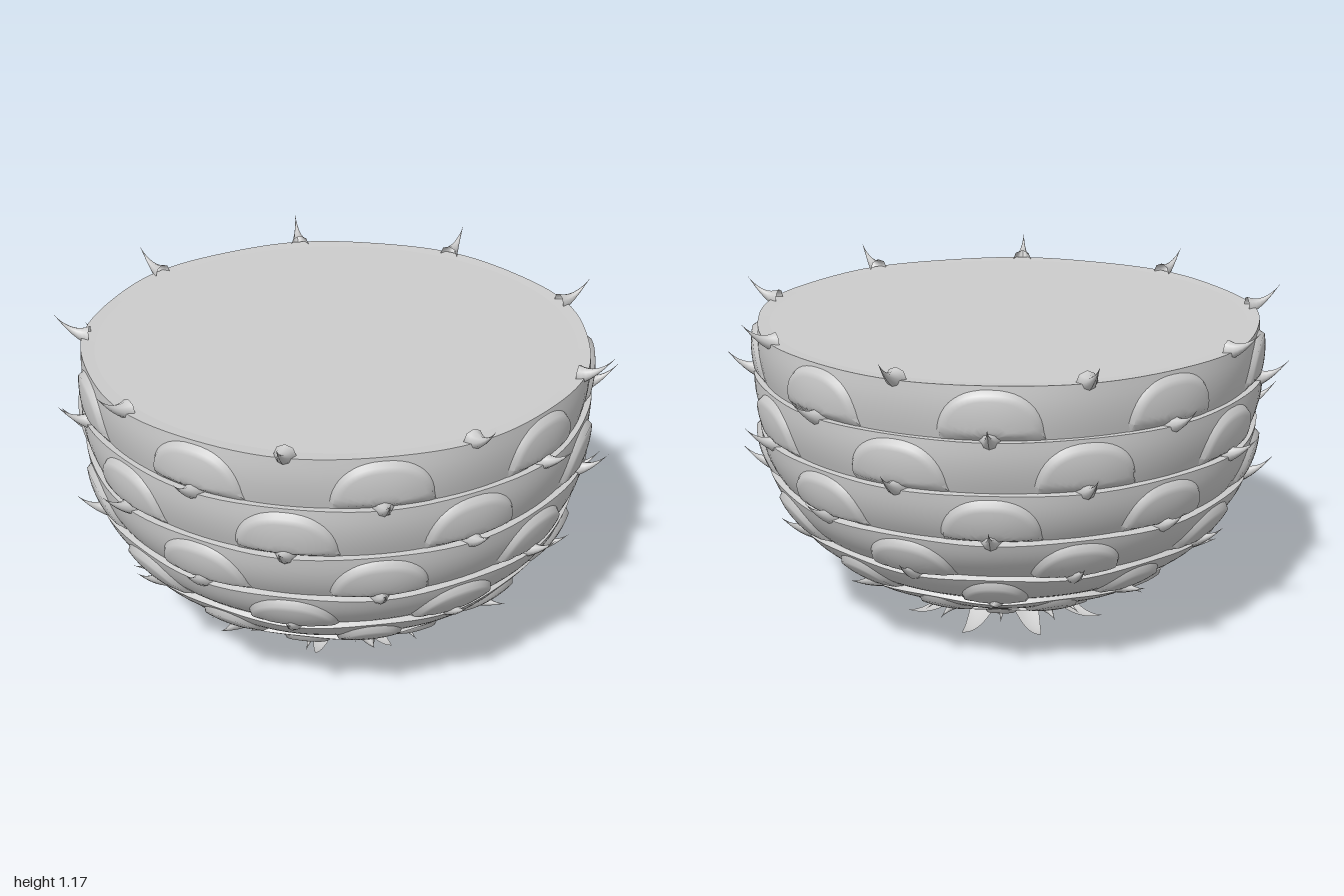
import * as THREE from 'three';
import { mergeVertices, toCreasedNormals } from 'three/addons/utils/BufferGeometryUtils.js';

const ROWS = 8;
const COUNT = 9;
const STEP = (Math.PI * 2) / COUNT;

// Rind profile (radius, height): one point per ledge between rows of scales
const profile = new THREE.CatmullRomCurve3([
  [0.22, 0.06], [0.31, 0.09], [0.46, 0.15], [0.64, 0.26], [0.765, 0.395],
  [0.845, 0.555], [0.878, 0.73], [0.884, 0.91], [0.872, 1.088],
].map(([r, y]) => new THREE.Vector3(r, y, 0)), false, 'catmullrom');

// Point on the rind at an angle and row position, pushed out along the normal
function rindPoint(theta, s, off) {
  const k = THREE.MathUtils.clamp(s / ROWS, 0, 1);
  const p = profile.getPoint(k);
  const t = profile.getTangent(k);
  const r = p.x + t.y * off;
  return [r * Math.sin(theta), p.y - t.x * off, r * Math.cos(theta)];
}

// Moves a grid by a rule (u, v) => [x, y, z]
function surface(nu, nv, rule, crease = 0.7) {
  let geo = new THREE.PlaneGeometry(1, 1, nu, nv);
  const pos = geo.attributes.position;
  for (let i = 0; i < pos.count; i++) {
    pos.setXYZ(i, ...rule(pos.getX(i) + 0.5, pos.getY(i) + 0.5));
  }
  geo.deleteAttribute('uv');
  geo.deleteAttribute('normal');
  geo = mergeVertices(geo, 1e-5);
  return toCreasedNormals(geo, crease);
}

const rowSize = (row) => Math.min(1, 0.45 + row * 0.14);
const rowAngle = (row) => THREE.MathUtils.degToRad(row % 2 ? 10 : -10);
const bandOffset = (t, size) => size * (-0.008 + 0.024 * Math.sin(Math.min(1, t * 1.15) * Math.PI / 2));

// One row of broad scale bases, ending in a sharp ledge
function bandGeometry(row) {
  const nv = 9;
  return surface(108, nv, (u, v) => {
    const theta = (u * 2 - 1) * Math.PI;
    const lip = v > 0.999;
    const t = Math.min(1, (v * nv) / (nv - 1));
    const wave = 0.005 * t * Math.cos((theta - rowAngle(row + 1)) * COUNT);
    return rindPoint(theta, row + t, lip ? -0.045 : bandOffset(t, rowSize(row)) + wave);
  });
}

// Arched upper part of a scale, lying over the next row
function domeGeometry(row) {
  const size = rowSize(row);
  const halfWidth = THREE.MathUtils.degToRad(row < 4 ? 10 : 11.5);
  return surface(24, 9, (u, rho) => {
    const a = Math.PI * u;
    const c = Math.cos(a);
    const across = Math.sign(c) * Math.abs(c) ** 0.85 * rho;
    const h = Math.max(0, Math.sin(a)) ** 0.85 * rho;
    const rise = rho > 0.999 ? -0.01 : 0.012 + 0.012 * (1 - rho * rho);
    const ramp = Math.min(1, 0.15 + h / 0.15);
    return rindPoint(-across * halfWidth, row + 0.95 * h,
      bandOffset(0.95 * h, size) + rise * ramp * size);
  }, 0.9);
}

// Thorn growing along +z and curling by the given lift
function thornGeometry(length, lift, radius) {
  const geo = new THREE.ConeGeometry(radius, 1, 8, 8, true);
  geo.translate(0, 0.5, 0).rotateX(Math.PI / 2);
  const pos = geo.attributes.position;
  for (let i = 0; i < pos.count; i++) {
    const t = pos.getZ(i);
    const taper = Math.max(0, 1 - t) ** 0.4;
    pos.setXYZ(i, pos.getX(i) * taper, pos.getY(i) * taper + lift * t * t, t * length);
  }
  geo.computeVertexNormals();
  return geo;
}

export function createModel() {
  const model = new THREE.Group();
  const grey = new THREE.MeshStandardMaterial({ color: 0xcccccc });
  const thin = new THREE.MeshStandardMaterial({ color: 0xcccccc, side: THREE.DoubleSide });

  function add(name, geo, mat = grey, parent = model) {
    const mesh = new THREE.Mesh(geo, mat);
    mesh.name = name;
    parent.add(mesh);
    return mesh;
  }

  // Repeats a geometry around the axis
  function ring(name, geo, start, mat) {
    const group = new THREE.Group();
    group.name = name + 's';
    for (let i = 0; i < COUNT; i++) {
      add(name, geo, mat, group).rotation.y = start + i * STEP;
    }
    model.add(group);
  }

  // Flat cut top
  add('cutTop', new THREE.CircleGeometry(0.855, 96).rotateX(-Math.PI / 2)).position.y = 1.086;

  // Rows of scales
  for (let row = 0; row < ROWS; row++) {
    add('scaleRow', bandGeometry(row));
    ring('scaleDome', domeGeometry(row), rowAngle(row));
  }

  // A curled thorn on each scale
  const lifts = [-0.02, -0.01, 0.035, 0.065, 0.075, 0.075, 0.075, 0.08];
  lifts.forEach((lift, i) => {
    const row = i + 1;
    const size = rowSize(row);
    const thorn = thornGeometry(0.12 + 0.02 * (row === 3), lift, 0.036 * size);
    const [, y, z] = rindPoint(0, row, -0.006);
    thorn.translate(0, y, z);
    ring('thorn', thorn, rowAngle(row), thin);
  });

  // Recessed underside
  add('underside', new THREE.LatheGeometry([
    new THREE.Vector2(0, 0.085), new THREE.Vector2(0.12, 0.078), new THREE.Vector2(0.23, 0.062),
  ], 48), thin);

  // Pointed curling leaves around the base
  const leaf = surface(4, 10, (u, v) => {
    const width = 0.055 * (1 - v) ** 0.8;
    const across = u * 2 - 1;
    return [across * width, 0.062 - 0.062 * Math.sin(v * 2.3) + 0.012 * across * across * (1 - v),
      0.19 + 0.22 * v];
  }, Math.PI);
  ring('baseLeaf', leaf, rowAngle(0), thin);

  return model;
}
